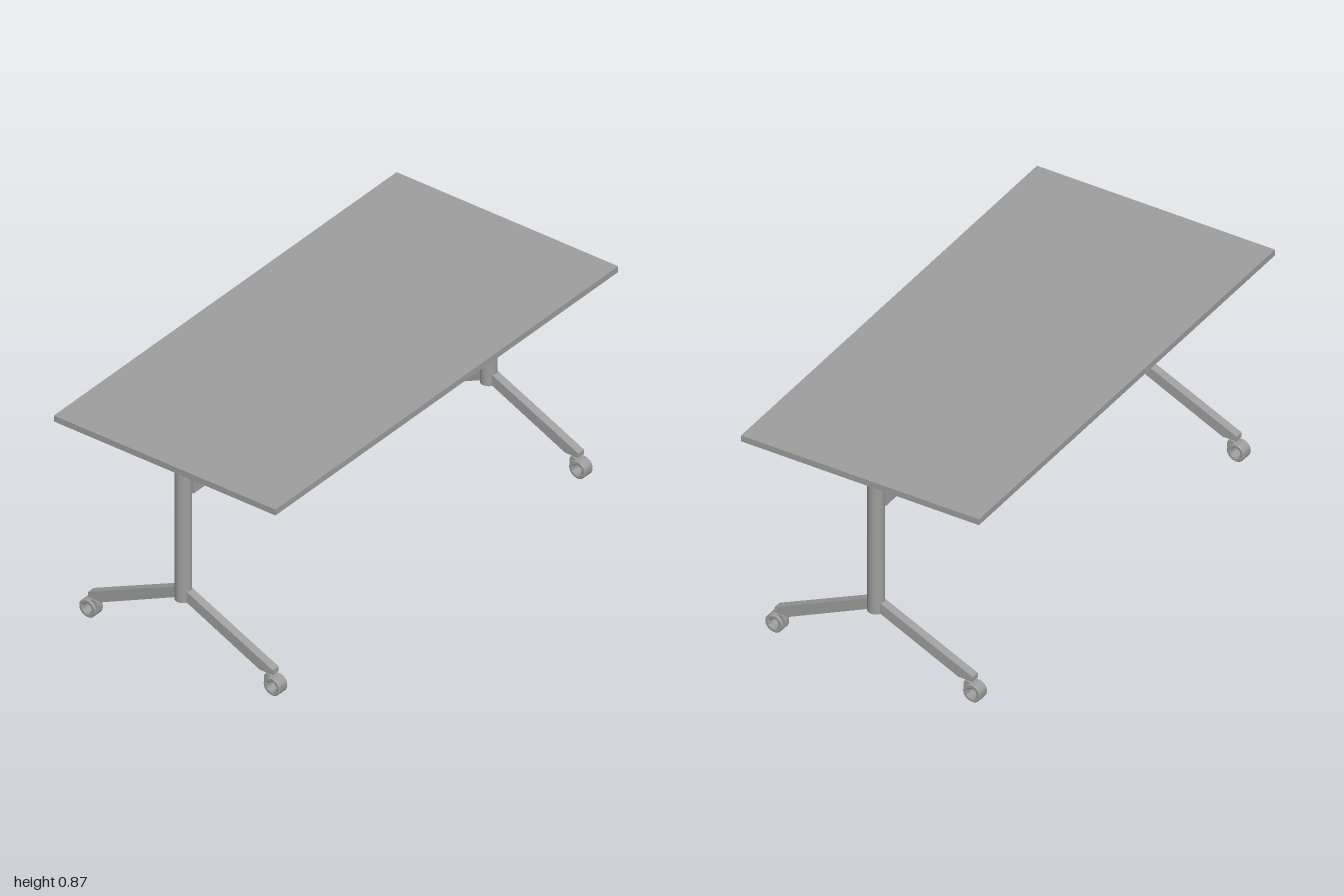
import * as THREE from 'three';
import { toCreasedNormals } from 'three/addons/utils/BufferGeometryUtils.js';

const grey = new THREE.MeshStandardMaterial({ color: 0x9e9e9e });
const LEG_X = 0.891;

function part(name, geometry, parent, x = 0, y = 0, z = 0) {
  const mesh = new THREE.Mesh(geometry, grey);
  mesh.name = name;
  mesh.position.set(x, y, z);
  parent.add(mesh);
  return mesh;
}

// Extrude a profile drawn in (z, y) so that its thickness lies centred along x
function extrudeAcross(points, width) {
  const shape = new THREE.Shape(points.map(([z, y]) => new THREE.Vector2(z, y)));
  const g = new THREE.ExtrudeGeometry(shape, { depth: width, bevelEnabled: false });
  g.translate(0, 0, -width / 2);
  g.rotateY(-Math.PI / 2);
  return toCreasedNormals(g, 0.6);
}

// Square mounting plate: thin slab, softly shaded sloping skirt and small collar
function bracketGeometry() {
  const profile = [[0, 0.803], [0.04, 0.803], [0.042, 0.814], [0.08, 0.834], [0.08, 0.848], [0, 0.848]];
  const g = new THREE.LatheGeometry(
    profile.map(([h, y]) => new THREE.Vector2(h * Math.SQRT2, y)), 4, Math.PI / 4);
  return toCreasedNormals(g, 1.2);
}

// Open wheel ring with chamfered tyre and a stepped bore
function wheelGeometry(width) {
  const w = width / 2;
  const profile = [[0.02, -w + 0.003], [0.024, -w], [0.034, -w], [0.037, -w + 0.003],
    [0.037, w - 0.003], [0.034, w], [0.024, w], [0.02, w - 0.003], [0.02, -w + 0.003]];
  const g = new THREE.LatheGeometry(profile.map(([r, y]) => new THREE.Vector2(r, y)), 32);
  g.rotateZ(Math.PI / 2);
  return toCreasedNormals(g, 0.5);
}

// Broad caster wheel; the hood and swivel stem sit inboard of the wheel axis
function buildCaster() {
  const caster = new THREE.Group();
  caster.name = 'caster';
  part('wheel', wheelGeometry(0.048), caster, 0, 0.037, 0);
  const hood = [[-0.03, 0], [-0.022, 0.005], [-0.005, 0.03], [-0.016, 0.041], [-0.034, 0.041], [-0.039, 0.03], [-0.039, 0.006]];
  part('casterHood', extrudeAcross(hood, 0.032), caster, 0, 0.037, 0);
  part('casterStem', new THREE.CylinderGeometry(0.012, 0.012, 0.02, 20), caster, 0, 0.077, -0.026);
  return caster;
}

function buildLeg() {
  const leg = new THREE.Group();
  leg.name = 'leg';
  part('column', new THREE.CylinderGeometry(0.032, 0.032, 0.568, 40), leg, 0, 0.52, 0);
  part('topBracket', bracketGeometry(), leg);

  // Sloping foot arms with a caster at each end
  const foot = extrudeAcross([[0.02, 0.287], [0.02, 0.242], [0.357, 0.084], [0.417, 0.084], [0.417, 0.104]], 0.034);
  for (const turn of [0, Math.PI]) {
    const side = new THREE.Group();
    side.name = 'foot';
    part('footArm', foot, side);
    const caster = buildCaster();
    caster.position.z = 0.416;
    side.add(caster);
    side.rotation.y = turn;
    leg.add(side);
  }
  return leg;
}

export function createModel() {
  const table = new THREE.Group();
  table.name = 'table';
  part('tableTop', new THREE.BoxGeometry(2, 0.025, 1), table, 0, 0.8595, 0);
  part('crossBeam', new THREE.BoxGeometry(1.726, 0.055, 0.05), table, 0, 0.706, 0);
  for (const s of [-1, 1]) {
    const leg = buildLeg();
    leg.position.x = s * LEG_X;
    table.add(leg);
  }
  return table;
}
